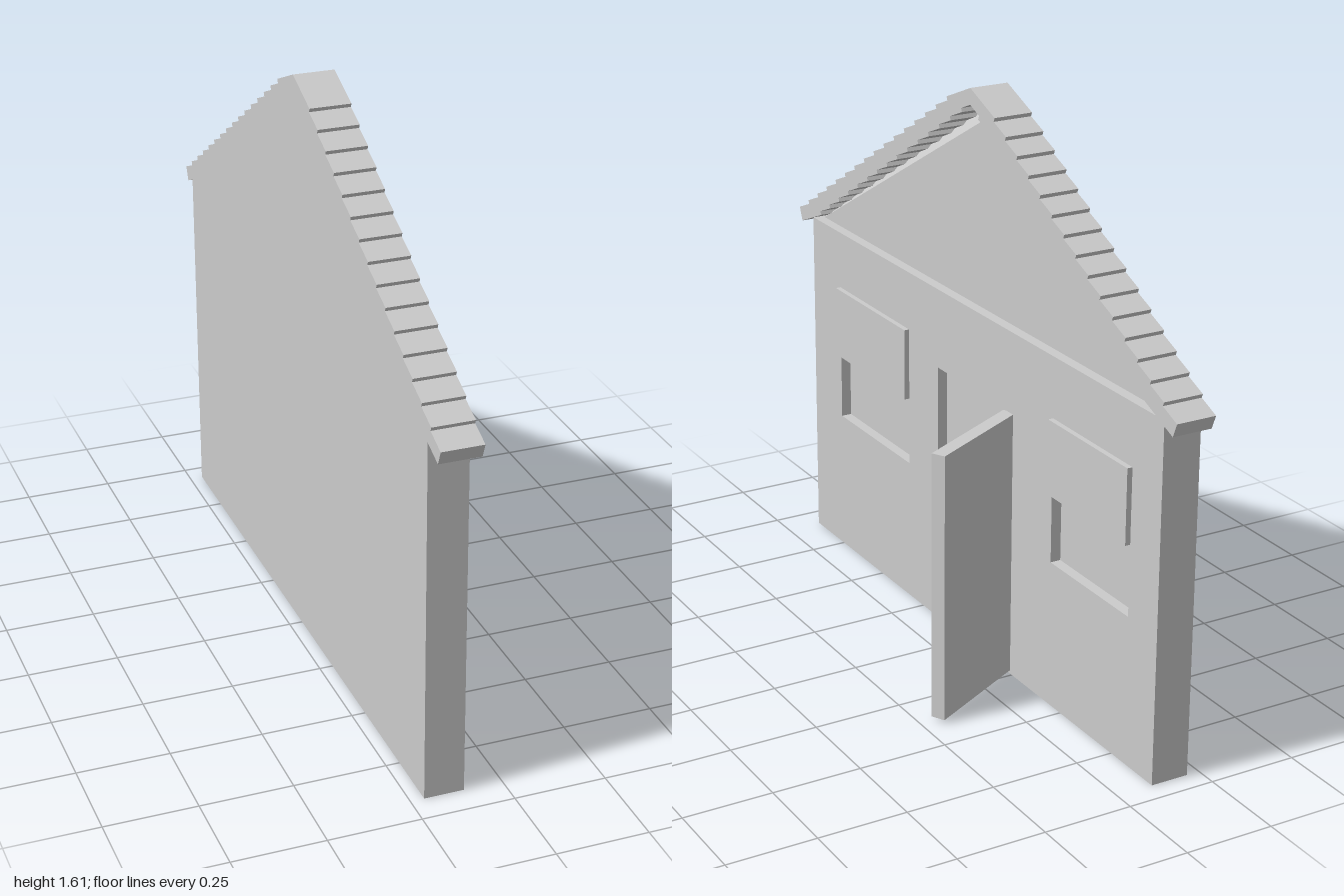
import * as THREE from 'three';

const material = new THREE.MeshStandardMaterial({ color: 0xcccccc });
const BACK = -0.213, RECESS = -0.135, FRONT = -0.105, RIDGE_Z = -0.015;

function add(parent, name, geometry) {
  const mesh = new THREE.Mesh(geometry, material);
  mesh.name = name;
  parent.add(mesh);
  return mesh;
}

// Box given by its minimum and maximum corners
function boxBetween(x0, x1, y0, y1, z0, z1) {
  return new THREE.BoxGeometry(x1 - x0, y1 - y0, z1 - z0)
    .translate((x0 + x1) / 2, (y0 + y1) / 2, (z0 + z1) / 2);
}

// Rectangle in the wall plane; shape x runs along -z
function rectangle(PathType, z0, z1, y0, y1) {
  const path = new PathType();
  path.moveTo(-z1, y0).lineTo(-z0, y0).lineTo(-z0, y1).lineTo(-z1, y1).closePath();
  return path;
}

// Gable: small front triangle flaring to a larger back triangle
function gableGeometry() {
  const front = [[RECESS, 1, 0.905], [RECESS, 1, -0.925], [RECESS, 1.515, RIDGE_Z]];
  const back = [[BACK, 1, 0.92], [BACK, 1, -0.94], [BACK, 1.59, RIDGE_Z]];
  const positions = [...front, ...back].flat();
  const index = [0, 1, 2, 5, 4, 3];
  for (let i = 0; i < 3; i++) {
    const j = (i + 1) % 3;
    index.push(i, i + 3, j, j, i + 3, j + 3);
  }
  const indexed = new THREE.BufferGeometry();
  indexed.setAttribute('position', new THREE.Float32BufferAttribute(positions, 3));
  indexed.setIndex(index);
  const geometry = indexed.toNonIndexed();
  geometry.computeVertexNormals();
  return geometry;
}

export function createModel() {
  const house = new THREE.Group();
  house.name = 'houseFront';

  // Wall: solid backing plus a front layer with shallow openings
  const windows = [[0.33, 0.75], [-0.81, -0.44]];
  add(house, 'wallBacking', boxBetween(BACK, RECESS, 0, 1, -0.94, 0.92));
  const face = rectangle(THREE.Shape, -0.94, 0.92, 0, 1);
  face.holes.push(rectangle(THREE.Path, -0.195, 0.165, 0.01, 0.77));
  for (const [z0, z1] of windows) face.holes.push(rectangle(THREE.Path, z0, z1, 0.42, 0.83));
  const faceGeometry = new THREE.ExtrudeGeometry(face, { depth: FRONT - RECESS, bevelEnabled: false });
  faceGeometry.rotateY(Math.PI / 2).translate(RECESS, 0, 0);
  add(house, 'wallFace', faceGeometry);
  add(house, 'gable', gableGeometry());

  // Upper window sashes stand proud of the wall
  for (const [z0, z1] of windows) {
    add(house, 'upperSash', boxBetween(RECESS, -0.09, 0.62, 0.83, z0, z1));
  }

  // Open door, swung out about its hinge edge
  const door = add(house, 'door', boxBetween(0, 0.355, 0.01, 0.77, -0.02, 0.02));
  door.position.set(-0.11, 0, -0.215);
  door.rotation.y = Math.atan2(0.167, 0.313);

  // Roof: overlapping rows of tilted tiles climbing both slopes to the ridge
  const roof = new THREE.Group();
  roof.name = 'roof';
  house.add(roof);
  const rows = 16, tilt = 0.39, thickness = 0.042, topRun = 0.125;
  const length = topRun / Math.cos(tilt);
  const topY = 1.61 - topRun * Math.tan(tilt);
  for (const side of [1, -1]) {
    const eaveRun = 1 - side * RIDGE_Z;
    const tileGeometry = new THREE.BoxGeometry(0.113, thickness, length)
      .translate(0, -thickness / 2, -side * length / 2);
    for (let i = 0; i < rows; i++) {
      const t = i / (rows - 1);
      const tile = add(roof, 'roofTile', tileGeometry);
      const run = THREE.MathUtils.lerp(eaveRun, topRun, t);
      tile.position.set(-0.1565, THREE.MathUtils.lerp(1.012, topY, t), RIDGE_Z + side * run);
      tile.rotation.x = side * tilt;
    }
  }
  return house;
}
